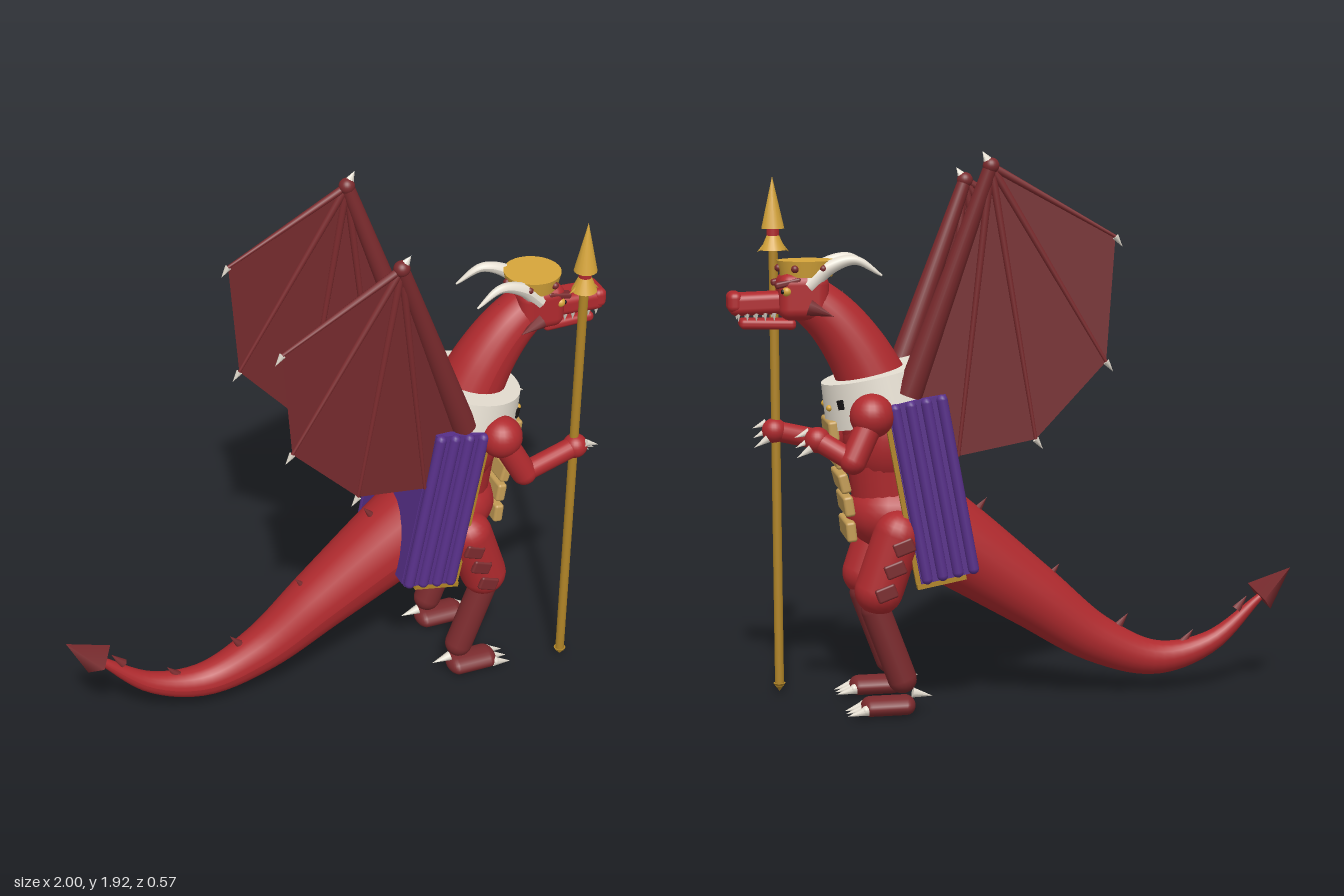
import * as THREE from 'three';
import { RoundedBoxGeometry } from 'three/addons/geometries/RoundedBoxGeometry.js';

const mat = (name, color, side = THREE.FrontSide) => {
  const m = new THREE.MeshStandardMaterial({ color, side });
  m.name = name;
  return m;
};
const V = (p) => new THREE.Vector3(...p);
const UP = new THREE.Vector3(0, 1, 0);

export function createModel() {
  const red = mat('scale red', 0xb02a2e);
  const dark = mat('dark red', 0x7a2a2d);
  const skin = mat('wing membrane', 0x742a2d, THREE.DoubleSide);
  const cream = mat('ivory', 0xe6dfd2);
  const gold = mat('gold', 0xd6a53a);
  const brass = mat('brass', 0xb08427);
  const tan = mat('tan', 0xc39c55);
  const purple = mat('purple', 0x58308a);
  const black = mat('black', 0x161414);

  const model = new THREE.Group();
  model.name = 'dragon';
  const add = (name, geo, m, pos = [0, 0, 0], rot = [0, 0, 0], parent = model) => {
    const mesh = new THREE.Mesh(geo, m);
    mesh.name = name;
    mesh.position.set(...pos);
    mesh.rotation.set(...rot);
    parent.add(mesh);
    return mesh;
  };
  // Place a y-aligned geometry between two points
  const span = (name, make, m, a, b, parent = model) => {
    const d = V(b).sub(V(a));
    const mesh = add(name, make(d.length()), m, V(a).add(V(b)).multiplyScalar(0.5).toArray(), [0, 0, 0], parent);
    mesh.quaternion.setFromUnitVectors(UP, d.normalize());
    return mesh;
  };
  const rod = (name, m, a, b, r0, r1, n = 20) => span(name, (l) => new THREE.CylinderGeometry(r1, r0, l, n), m, a, b);
  const capsule = (name, m, a, b, r) => span(name, (l) => new THREE.CapsuleGeometry(r, l, 8, 20), m, a, b);
  const spike = (name, m, a, b, r, n = 8) => span(name, (l) => new THREE.ConeGeometry(r, l, n), m, a, b);
  const ball = (name, m, p, r, s = [1, 1, 1]) => add(name, new THREE.SphereGeometry(r, 24, 16), m, p).scale.set(...s);
  // Tube whose radius eases from r0 to r1 along a curve
  const taper = (name, m, pts, r0, r1, power = 1, n = 24) => {
    const curve = new THREE.CatmullRomCurve3(pts.map(V));
    const geo = new THREE.TubeGeometry(curve, 40, 1, n);
    const p = geo.attributes.position;
    for (let i = 0; i <= 40; i++) {
      const c = curve.getPointAt(i / 40);
      const r = r1 + (r0 - r1) * Math.pow(1 - i / 40, power);
      for (let j = 0; j <= n; j++) {
        const k = i * (n + 1) + j;
        const v = new THREE.Vector3().fromBufferAttribute(p, k).sub(c).multiplyScalar(r).add(c);
        p.setXYZ(k, v.x, v.y, v.z);
      }
    }
    geo.computeVertexNormals();
    return add(name, geo, m);
  };

  // Torso
  ball('chest', red, [0.46, 0.95, 0], 0.165, [0.92, 1.2, 1]);
  rod('waist', red, [0.45, 0.68, 0], [0.47, 1.06, 0], 0.125, 0.155);
  ball('hips', red, [0.44, 0.68, 0], 0.165, [1, 0.78, 1]);
  const plates = [[0.655, 0.98, -0.1], [0.635, 0.885, -0.2], [0.62, 0.8, -0.25], [0.605, 0.72, -0.15], [0.598, 0.632, -0.1]];
  plates.forEach(([x, y, a]) => add('bellyPlate', new RoundedBoxGeometry(0.035, 0.07, 0.205, 3, 0.01), tan, [x, y, 0], [0, 0, a]));

  // Tail with ridge spikes and spade
  taper('tail', red, [[0.34, 0.64, 0], [0.2, 0.545, 0], [-0.05, 0.365, 0], [-0.28, 0.2, 0], [-0.5, 0.12, 0], [-0.7, 0.165, 0], [-0.89, 0.325, 0]], 0.165, 0.013);
  spike('tailSpade', dark, [-0.885, 0.325, 0], [-1, 0.425, 0], 0.065, 4);
  [[0.14, 0.68], [-0.12, 0.435], [-0.37, 0.245], [-0.61, 0.175], [-0.81, 0.29]].forEach(([x, y]) =>
    spike('tailSpike', dark, [x + 0.01, y - 0.01, 0], [x - 0.03, y + 0.04, 0], 0.018));

  // Neck with ridge spikes
  taper('neck', red, [[0.48, 1.08, 0], [0.56, 1.24, 0], [0.64, 1.35, 0], [0.74, 1.44, 0]], 0.125, 0.08);
  [[0.475, 1.235], [0.53, 1.315], [0.575, 1.365], [0.62, 1.42]].forEach(([x, y]) =>
    spike('neckSpike', dark, [x + 0.03, y - 0.025, 0], [x - 0.015, y + 0.03, 0], 0.02));

  // Collar leaning forward, with studs around the front
  const collar = new THREE.Group();
  collar.name = 'collar';
  collar.position.set(0.475, 1.1, 0);
  collar.rotation.z = -0.22;
  model.add(collar);
  add('collarBand', new THREE.CylinderGeometry(0.197, 0.215, 0.155, 40), cream, [0, 0, 0], [0, 0, 0], collar);
  [-1.25, -0.68, 0.68, 1.25].forEach((a) =>
    add('collarMark', new THREE.BoxGeometry(0.01, 0.032, 0.022), black, [Math.cos(a) * 0.208, 0.01, Math.sin(a) * 0.208], [0, -a, 0], collar));
  [-0.34, 0.34].forEach((a) =>
    add('collarStud', new THREE.SphereGeometry(0.011, 12, 8), gold, [Math.cos(a) * 0.208, 0, Math.sin(a) * 0.208], [0, 0, 0], collar));

  // Head
  add('skull', new RoundedBoxGeometry(0.17, 0.16, 0.175, 4, 0.04), red, [0.745, 1.435, 0]);
  add('snout', new RoundedBoxGeometry(0.21, 0.075, 0.11, 4, 0.025), red, [0.89, 1.412, 0], [0, 0, -0.03]);
  add('noseTip', new RoundedBoxGeometry(0.05, 0.07, 0.115, 4, 0.022), red, [0.975, 1.418, 0]);
  add('jaw', new RoundedBoxGeometry(0.19, 0.035, 0.09, 3, 0.015), red, [0.865, 1.342, 0], [0, 0, 0.03]);
  for (const s of [1, -1]) {
    ball('eye', gold, [0.805, 1.455, s * 0.076], 0.017);
    ball('pupil', black, [0.818, 1.455, s * 0.081], 0.008);
    add('brow', new RoundedBoxGeometry(0.09, 0.022, 0.035, 2, 0.008), dark, [0.8, 1.483, s * 0.068], [0, 0, -0.2]);
    ball('nostril', black, [0.99, 1.432, s * 0.03], 0.009);
    spike('cheekSpike', dark, [0.73, 1.4, s * 0.08], [0.65, 1.37, s * 0.1], 0.03);
    for (let i = 0; i < 5; i++) {
      const x = 0.845 + i * 0.03;
      spike('tooth', cream, [x, 1.382, s * 0.04], [x, 1.352, s * 0.04], 0.009, 6);
    }
    taper('horn', cream, [[0.73, 1.47, s * 0.06], [0.665, 1.53, s * 0.07], [0.575, 1.557, s * 0.08], [0.485, 1.505, s * 0.09]], 0.032, 0.003, 0.8, 12);
  }

  // Crown
  add('crown', new THREE.CylinderGeometry(0.1, 0.088, 0.055, 32), gold, [0.73, 1.528, 0]);
  for (let i = 0; i < 6; i++) {
    const a = i * Math.PI / 3;
    ball('crownGem', dark, [0.73 + Math.cos(a) * 0.095, 1.53, Math.sin(a) * 0.095], 0.013);
  }

  for (const s of [1, -1]) {
    // Legs
    capsule('thigh', red, [0.45, 0.63, s * 0.165], [0.515, 0.44, s * 0.16], 0.083);
    capsule('shin', dark, [0.525, 0.37, s * 0.147], [0.435, 0.125, s * 0.147], 0.05);
    capsule('foot', dark, [0.425, 0.034, s * 0.15], [0.545, 0.034, s * 0.15], 0.034).scale.z = 1.7;
    [-0.038, 0, 0.038].forEach((d) => {
      ball('toe', cream, [0.565, 0.03, s * 0.15 + d], 0.017);
      spike('toeClaw', cream, [0.56, 0.03, s * 0.15 + d], [0.63, 0.012, s * 0.15 + d], 0.019);
    });
    spike('heelClaw', cream, [0.4, 0.075, s * 0.15], [0.33, 0.06, s * 0.15], 0.018);
    [[0.44, 0.6], [0.47, 0.525], [0.5, 0.445]].forEach(([x, y]) =>
      add('thighScale', new RoundedBoxGeometry(0.072, 0.05, 0.02, 2, 0.008), dark, [x, y, s * 0.24], [0, 0, -0.35]));

    // Arms; the near hand reaches to the spear
    const elbow = s > 0 ? [0.62, 0.895, 0.235] : [0.61, 0.9, -0.245];
    const hand = s > 0 ? [0.825, 0.945, 0.215] : [0.72, 0.965, -0.175];
    ball('shoulder', red, [0.54, 1.045, s * 0.205], 0.075);
    capsule('upperArm', red, [0.55, 1.02, s * 0.22], elbow, 0.045);
    capsule('forearm', red, elbow, hand, 0.036);
    ball('hand', red, hand, 0.044);
    [-0.03, 0, 0.03].forEach((d) => {
      const [x, y, z] = hand;
      spike('fingerClaw', cream, [x + 0.025, y + d * 0.8, z + d], [x + 0.075, y - 0.025 + d, z + d], 0.014);
    });

    // Wing: arm, finger bones, membrane folded along the bones, claws
    const stretch = s > 0 ? 1 : 1.08;
    const at = (x, y, z) => [x, 1 + (y - 1) * stretch, s * z];
    const root = at(0.41, 1.1, 0.175), wrist = at(0.14, 1.81, 0.24);
    const tips = [at(-0.28, 1.59, 0.262), at(-0.25, 1.2, 0.262), at(-0.01, 0.96, 0.25), at(0.25, 0.91, 0.22)];
    rod('wingArm', dark, root, wrist, 0.045, 0.024);
    ball('wingWrist', dark, wrist, 0.028);
    spike('wristClaw', cream, wrist, at(0.17, 1.855, 0.245), 0.025);
    tips.forEach((t, i) => {
      rod('wingFinger', dark, wrist, t, 0.014, 0.006, 10);
      if (i < 3) spike('wingTipClaw', cream, t, [t[0] - 0.025, t[1] - 0.035, t[2]], 0.012);
    });
    const rim = [...tips, root];
    const tri = [];
    for (let i = 0; i < rim.length - 1; i++) tri.push(...wrist, ...rim[i], ...rim[i + 1]);
    const web = new THREE.BufferGeometry();
    web.setAttribute('position', new THREE.Float32BufferAttribute(tri, 3));
    web.computeVertexNormals();
    add('wingMembrane', web, skin);
  }

  // Pleated cape wrapped around the back with brass trim
  const cape = new THREE.Group();
  cape.name = 'cape';
  cape.position.set(0.335, 0.79, 0);
  cape.rotation.z = -0.18;
  model.add(cape);
  add('capeBack', new THREE.BoxGeometry(0.015, 0.62, 0.4), purple, [-0.095, 0, 0], [0, 0, 0], cape);
  for (const s of [1, -1]) {
    add('capeSide', new THREE.BoxGeometry(0.2, 0.62, 0.03), purple, [0, 0, s * 0.205], [0, 0, 0], cape);
    for (let i = 0; i < 4; i++)
      add('capePleat', new THREE.CapsuleGeometry(0.019, 0.59, 4, 12), purple, [-0.084 + i * 0.054, 0, s * 0.222], [0, 0, 0], cape);
    add('capeFrontTrim', new THREE.BoxGeometry(0.016, 0.6, 0.022), brass, [0.108, -0.01, s * 0.2], [0, 0, 0], cape);
    add('capeHemTrim', new THREE.BoxGeometry(0.17, 0.018, 0.03), brass, [0.03, -0.318, s * 0.205], [0, 0, 0], cape);
  }

  // Spear
  const sx = 0.82, sz = 0.213;
  rod('spearShaft', brass, [sx, 0.03, sz], [sx, 1.66, sz], 0.016, 0.016);
  spike('spearButt', brass, [sx, 0.04, sz], [sx, 0.01, sz], 0.022, 12);
  spike('spearPoint', gold, [sx, 1.65, sz], [sx, 1.83, sz], 0.04, 16);
  rod('spearBinding', red, [sx, 1.625, sz], [sx, 1.65, sz], 0.022, 0.022);
  rod('spearCollar', gold, [sx, 1.575, sz], [sx, 1.635, sz], 0.044, 0.018);
  for (const s of [1, -1]) spike('spearBarb', gold, [sx + s * 0.015, 1.6, sz], [sx + s * 0.055, 1.57, sz], 0.014);

  return model;
}
